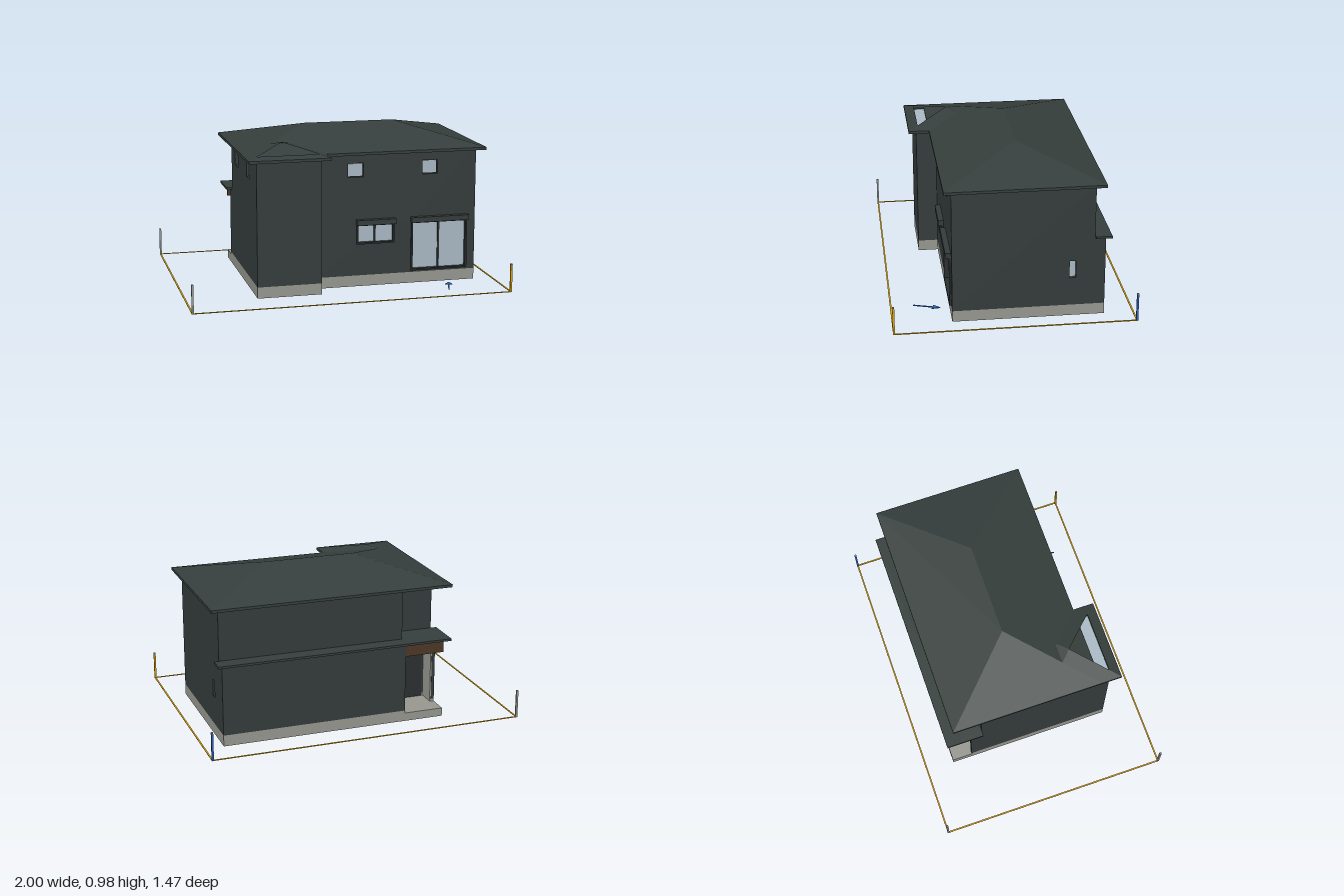
import * as THREE from 'three';

const mat = (name, color, side = THREE.FrontSide) => {
  const m = new THREE.MeshStandardMaterial({ color, side });
  m.name = name;
  return m;
};

export function createModel() {
  const wallMat = mat('dark wall', 0x343b3b);
  const roofMat = mat('slate roof', 0x353e3c, THREE.DoubleSide);
  const frameMat = mat('window frame', 0x2a2f2f);
  const glass = mat('pale glass', 0xa8b8c3);
  const concrete = mat('concrete', 0x96968f);
  const wood = mat('brown wood', 0x4c3626);
  const earth = mat('dark underside', 0x3a2a21);
  const gold = mat('gold', 0xd8a00c);
  const blue = mat('blue', 0x2860b4);

  const model = new THREE.Group();
  const add = (name, geometry, material) => {
    const mesh = new THREE.Mesh(geometry, material);
    mesh.name = name;
    model.add(mesh);
    return mesh;
  };
  // Box given by its limits on each axis
  const box = (name, material, x0, x1, y0, y1, z0, z1) => {
    const g = new THREE.BoxGeometry(x1 - x0, y1 - y0, z1 - z0);
    g.translate((x0 + x1) / 2, (y0 + y1) / 2, (z0 + z1) / 2);
    return add(name, g, material);
  };
  // Extruded outline with holes
  const toPoints = (list) => list.map(([x, y]) => new THREE.Vector2(x, y));
  const rect = (x0, x1, y0, y1) => [[x0, y0], [x1, y0], [x1, y1], [x0, y1]];
  const extrude = (outline, depth, holes = []) => {
    const shape = new THREE.Shape(toPoints(outline));
    for (const h of holes) shape.holes.push(new THREE.Path(toPoints(h)));
    return new THREE.ExtrudeGeometry(shape, { depth, bevelEnabled: false });
  };
  // Upright prism over a floor plan of [x, -z] points
  const prism = (name, material, plan, y0, y1, holes) =>
    add(name, extrude(plan, y1 - y0, holes).rotateX(-Math.PI / 2).translate(0, y0, 0), material);
  // Moves each edge of a counterclockwise, square-cornered plan inward
  const inset = (plan, d) => plan.map((p, i) => {
    const a = plan[(i + plan.length - 1) % plan.length], b = plan[(i + 1) % plan.length];
    const dir = (s, e) => [Math.sign(e[0] - s[0]), Math.sign(e[1] - s[1])];
    const u = dir(a, p), v = dir(p, b);
    return [p[0] - d * (u[1] + v[1]), p[1] + d * (u[0] + v[0])];
  });

  // Floor plans: bay at the front left, entrance notch at the back left
  const plan = (x0, x1, front, back, notch) => [
    [x0, -0.5], [-0.155, -0.5], [-0.155, -front], [x1, -front],
    [x1, back], [-0.305, back], [-0.305, notch], [x0, notch],
  ];
  const base = plan(-0.56, 0.875, 0.373, 0.55, 0.3);
  prism('foundation', concrete, base, 0, 0.07, [inset(base, 0.05)]);
  prism('underFloor', earth, inset(base, 0.04), 0.055, 0.068);
  prism('lowerCore', wallMat, plan(-0.532, 0.847, 0.345, 0.55, 0.3), 0.07, 0.515);
  prism('upperCore', wallMat, plan(-0.532, 0.847, 0.345, 0.485, 0.345), 0.515, 0.85);

  // Outer wall panels with window openings
  const t = 0.028;
  const upperHoles = (centres) => centres.map((c) => rect(c - 0.05, c + 0.05, 0.7, 0.788));
  const kitchen = rect(0.097, 0.343, 0.272, 0.4), garden = rect(0.452, 0.822, 0.082, 0.4);
  const frontCentres = [0.091, 0.572], leftCentres = [-0.17, 0.23];
  add('frontWall', extrude(rect(-0.155, 0.847, 0.07, 0.85), t,
    [...upperHoles(frontCentres), kitchen, garden]).translate(0, 0, 0.345), wallMat);
  add('leftWall', extrude(rect(-0.345, 0.5, 0.07, 0.85), t, upperHoles(leftCentres))
    .rotateY(-Math.PI / 2).translate(-0.532, 0, 0), wallMat);
  add('rightWall', extrude([[-0.55, 0.07], [0.373, 0.07], [0.373, 0.85], [-0.485, 0.85],
    [-0.485, 0.515], [-0.55, 0.515]], t, [rect(-0.372, -0.334, 0.25, 0.36)])
    .rotateY(-Math.PI / 2).translate(0.875, 0, 0), wallMat);

  // Small recessed windows
  for (const x of frontCentres) {
    box('upperWindowFrame', frameMat, x - 0.05, x + 0.05, 0.7, 0.788, 0.345, 0.35);
    box('upperWindow', glass, x - 0.046, x + 0.046, 0.705, 0.783, 0.35, 0.357);
  }
  for (const z of leftCentres) {
    box('leftWindowFrame', frameMat, -0.537, -0.532, 0.7, 0.788, z - 0.05, z + 0.05);
    box('leftWindow', glass, -0.544, -0.537, 0.705, 0.783, z - 0.046, z + 0.046);
  }
  box('sideWindow', glass, 0.847, 0.856, 0.25, 0.36, -0.372, -0.334);

  // Sliding windows with projecting frames and shutter boxes
  const slidingWindow = (name, x0, x1, y0, middle) => {
    const inner = rect(x0 + 0.011, x1 - 0.011, y0 + 0.01, 0.39);
    add(name + 'Frame', extrude(rect(x0, x1, y0, 0.4), 0.04, [inner]).translate(0, 0, 0.345), frameMat);
    box(name + 'Stile', frameMat, middle - 0.006, middle + 0.006, y0 + 0.01, 0.39, 0.345, 0.362);
    box(name + 'Shutter', wallMat, x0 - 0.003, x1 + 0.003, 0.397, 0.43, 0.373, 0.407);
    box(name + 'LeftPane', glass, x0 + 0.011, middle - 0.006, y0 + 0.01, 0.39, 0.345, 0.354);
    box(name + 'RightPane', glass, middle + 0.006, x1 - 0.011, y0 + 0.01, 0.39, 0.35, 0.358);
  };
  slidingWindow('kitchenWindow', 0.097, 0.343, 0.272, 0.219);
  slidingWindow('gardenDoor', 0.452, 0.822, 0.082, 0.638);

  // Hipped roofs, with an eave slab under each
  const eave = 0.862, pitch = 0.252;
  const surface = (name, faces) => {
    const pos = [];
    for (const f of faces)
      for (let i = 1; i < f.length - 1; i++) pos.push(...f[0], ...f[i], ...f[i + 1]);
    const g = new THREE.BufferGeometry();
    g.setAttribute('position', new THREE.Float32BufferAttribute(pos, 3));
    g.computeVertexNormals();
    add(name, g, roofMat);
  };
  const hipRoof = (name, x0, x1, z0, z1, openFront) => {
    const half = (z1 - z0) / 2, zm = (z0 + z1) / 2, top = eave + half * pitch;
    const fl = [x0, eave, z1], fr = [x1, eave, z1], br = [x1, eave, z0], bl = [x0, eave, z0];
    const rl = [x0 + half, top, zm], rr = [x1 - half, top, zm];
    const d = 0.062, up = eave + d * pitch;
    const front = openFront
      ? [fl, fr, [x1 - d, up, z1 - d], [x0 + d, up, z1 - d]]
      : [fl, fr, rr, rl];
    surface(name, [front, [br, bl, rl, rr], [fr, br, rr], [bl, fl, rl]]);
  };
  hipRoof('mainRoof', -0.615, 0.928, -0.54, 0.42, false);
  hipRoof('bayRoof', -0.615, -0.105, 0.04, 0.55, true);
  box('mainEave', roofMat, -0.615, 0.928, 0.845, eave, -0.54, 0.42);
  prism('bayEave', roofMat, [
    [-0.615, -0.55], [-0.105, -0.55], [-0.105, -0.42], [-0.17, -0.42],
    [-0.17, -0.49], [-0.55, -0.49], [-0.55, -0.42], [-0.615, -0.42],
  ], 0.845, eave);
  box('bayRoofGlass', glass, -0.55, -0.17, 0.848, 0.853, 0.42, 0.49);

  // Low roof along the back and over the entrance
  box('backRoof', roofMat, -0.598, 0.905, 0.51, 0.524, -0.583, -0.485);
  box('porchRoof', roofMat, -0.598, -0.305, 0.51, 0.524, -0.485, -0.345);

  // Entrance porch: floor slab, beam, side wall and door
  box('porchSlab', concrete, -0.56, -0.305, 0, 0.053, -0.55, -0.04);
  box('porchBeam', wood, -0.56, -0.305, 0.43, 0.5, -0.55, -0.53);
  box('porchCeiling', wood, -0.56, -0.305, 0.5, 0.51, -0.55, -0.3);
  box('porchSideBase', concrete, -0.56, -0.532, 0, 0.07, -0.42, -0.3);
  box('porchSideWall', wallMat, -0.56, -0.54, 0.07, 0.51, -0.42, -0.3);
  box('porchSideLining', concrete, -0.54, -0.532, 0.07, 0.5, -0.418, -0.3);
  box('door', frameMat, -0.52, -0.35, 0.053, 0.45, -0.307, -0.3);
  box('doorHandle', wood, -0.39, -0.38, 0.2, 0.32, -0.316, -0.307);

  // Plot boundary lines and corner posts
  for (const s of [-1, 1]) {
    box('boundaryLine', gold, -1, 1, 0, 0.004, s * 0.73 - 0.005, s * 0.73 + 0.005);
    box('boundaryLine', gold, s * 0.995 - 0.005, s * 0.995 + 0.005, 0, 0.004, -0.73, 0.73);
  }
  const posts = [[1, 1, gold], [1, -1, blue], [-1, 1, concrete], [-1, -1, concrete]];
  for (const [sx, sz, m] of posts) {
    const x = sx * 0.994, z = sz * 0.73;
    box('cornerPost', m, x - 0.006, x + 0.006, 0, 0.172, z - 0.006, z + 0.006);
    box('postCap', concrete, x - 0.006, x + 0.006, 0.172, 0.18, z - 0.006, z + 0.006);
  }

  // Flat arrow on the ground
  const arrow = prism('groundArrow', blue, [
    [-0.004, -0.085], [0.004, -0.085], [0.004, 0.035], [0.023, 0.035],
    [0, 0.085], [-0.023, 0.035], [-0.004, 0.035],
  ], 0, 0.005);
  arrow.position.set(0.664, 0, 0.51);
  arrow.rotation.y = -0.31;

  return model;
}
